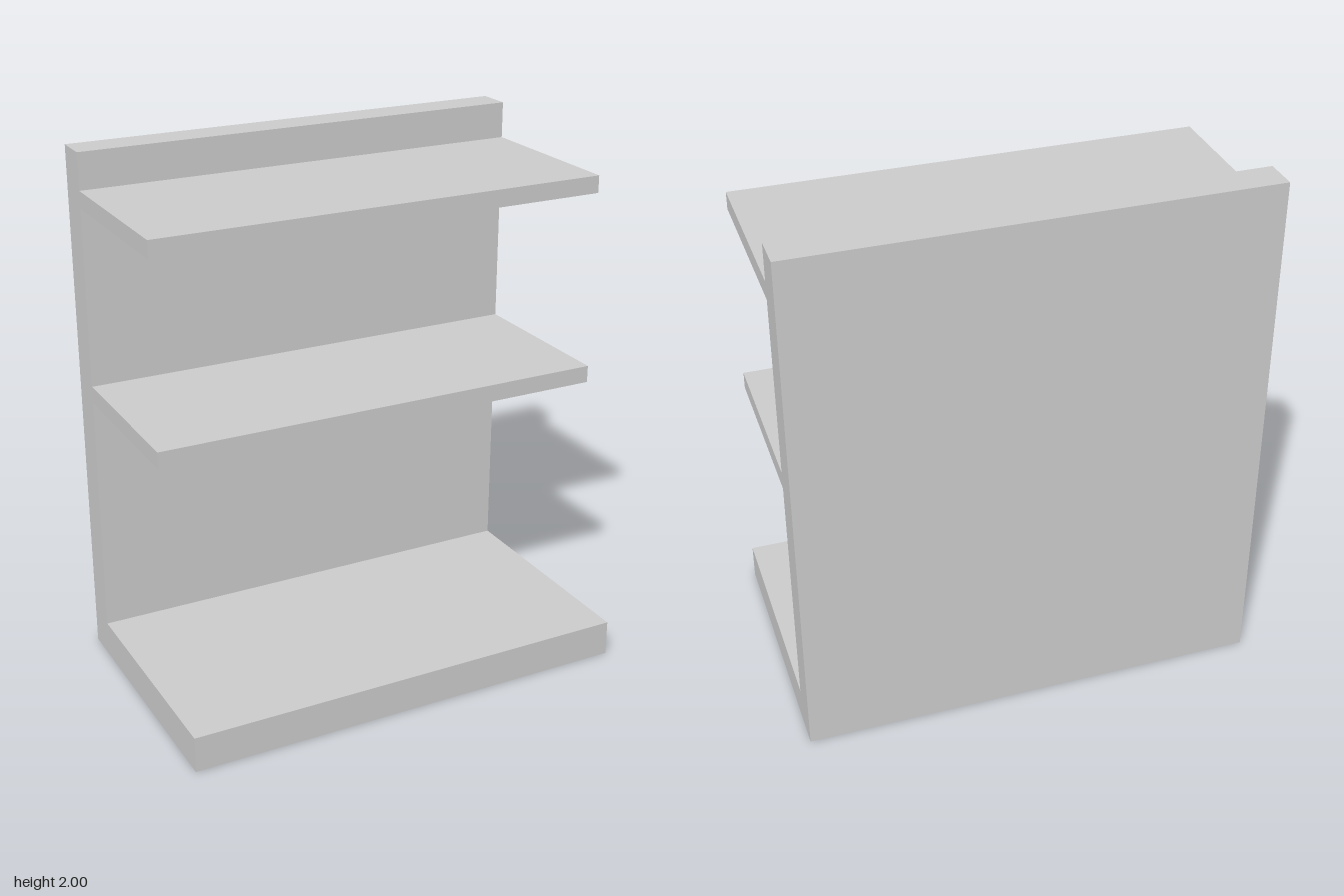
import * as THREE from 'three';

const WIDTH = 1.73;
const BACK = -0.507; // rear face of the back panel
const PANEL_FRONT = -0.377; // front face of the back panel

export function createModel() {
  const group = new THREE.Group();
  const material = new THREE.MeshStandardMaterial({ color: 0xcccccc });

  // Full-width board given by its height and depth ranges
  function addBoard(name, y0, y1, z0, z1) {
    const board = new THREE.Mesh(new THREE.BoxGeometry(WIDTH, y1 - y0, z1 - z0), material);
    board.name = name;
    board.position.set(0, (y0 + y1) / 2, (z0 + z1) / 2);
    group.add(board);
  }

  addBoard('backPanel', 0, 2, BACK, PANEL_FRONT);
  addBoard('base', 0, 0.137, PANEL_FRONT, 0.507);

  // Two shallower shelves
  addBoard('middleShelf', 1.063, 1.128, PANEL_FRONT, 0.28);
  addBoard('topShelf', 1.798, 1.863, PANEL_FRONT, 0.28);

  return group;
}
